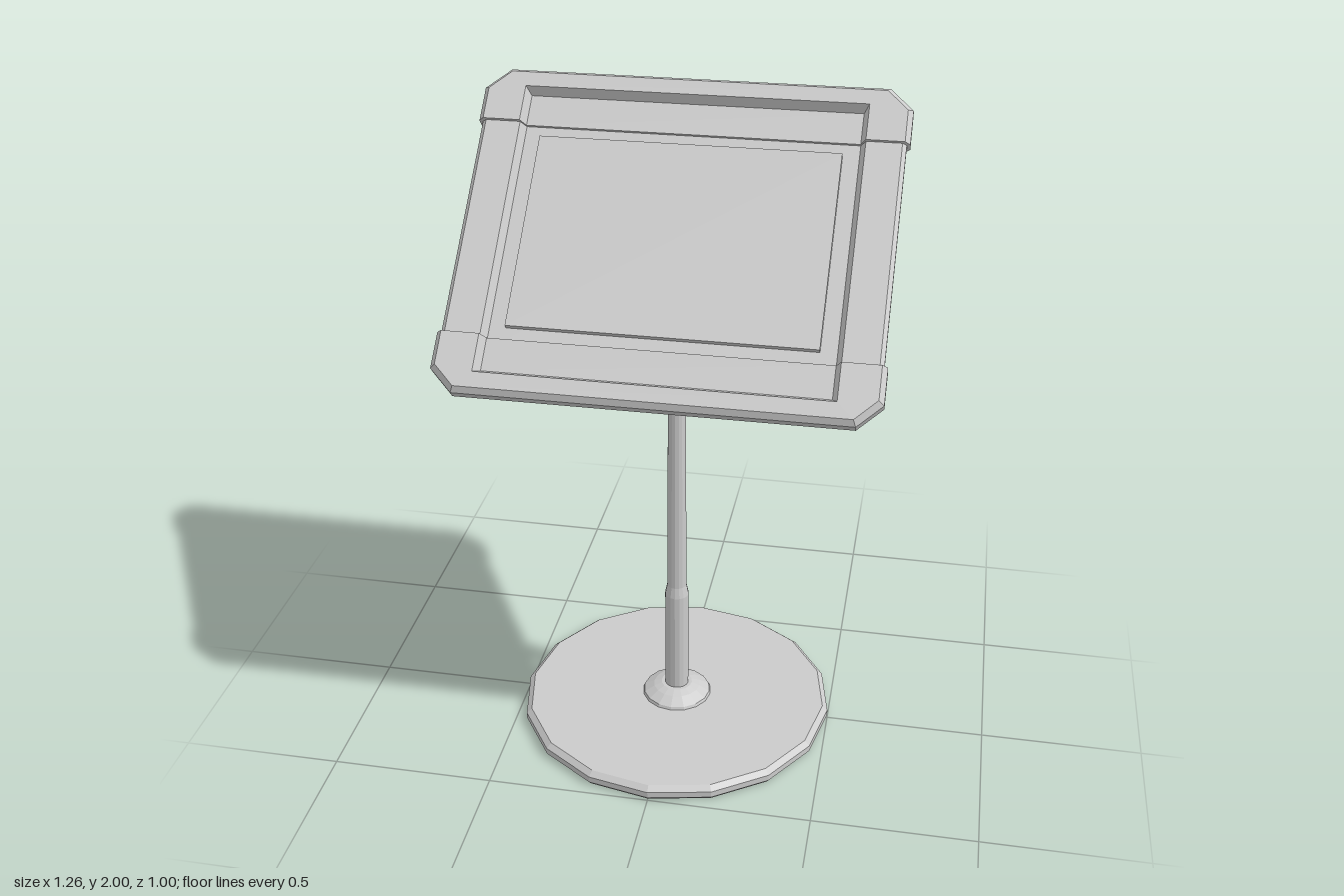
import * as THREE from 'three';

const material = new THREE.MeshStandardMaterial({ color: 0xcccccc, flatShading: true });

function add(parent, name, geometry, x = 0, y = 0, z = 0) {
  const mesh = new THREE.Mesh(geometry, material);
  mesh.name = name;
  mesh.position.set(x, y, z);
  parent.add(mesh);
  return mesh;
}

// Sweeps a bevelled rim section; each station holds outer edge, bevel, lip and floor as [x, v].
function rimGeometry(stations, half, floor) {
  const rings = stations.map(({ outer, bevel, lip, foot }) => [
    [...foot, -half], [...bevel, -half], [...outer, -half * 0.45],
    [...outer, half * 0.45], [...bevel, half], [...lip, half], [...foot, floor],
  ]);
  const pos = [];
  const tri = (a, b, c) => pos.push(...a, ...b, ...c);
  const count = rings[0].length;
  for (let i = 0; i < rings.length - 1; i++) {
    for (let j = 0; j < count; j++) {
      const k = (j + 1) % count;
      const [a, b, c, d] = [rings[i][j], rings[i][k], rings[i + 1][j], rings[i + 1][k]];
      tri(a, b, c);
      tri(b, d, c);
    }
  }
  const first = rings[0], last = rings[rings.length - 1];
  for (let j = 1; j < count - 1; j++) {
    tri(first[0], first[j + 1], first[j]);
    tri(last[0], last[j], last[j + 1]);
  }
  const geometry = new THREE.BufferGeometry();
  geometry.setAttribute('position', new THREE.Float32BufferAttribute(pos, 3));
  geometry.computeVertexNormals();
  return geometry;
}

function lathe(points, sides = 16) {
  return new THREE.LatheGeometry(points.map(([r, y]) => new THREE.Vector2(r, y)), sides);
}

function createBoard() {
  const board = new THREE.Group();
  board.name = 'board';
  board.position.set(0, 1.645, 0.03);
  board.rotation.x = -THREE.MathUtils.degToRad(48);

  // Thin backing plate and raised display panel
  add(board, 'backPlate', new THREE.BoxGeometry(0.98, 0.76, 0.012), 0, 0, -0.014);
  add(board, 'displayPanel', new THREE.BoxGeometry(0.884, 0.605, 0.02), 0, 0, 0);

  // Side rails, the second turned half a circle
  const rail = rimGeometry([-0.36, 0.36].map((v) => ({
    outer: [-0.62, v], bevel: [-0.608, v], lip: [-0.505, v], foot: [-0.49, v],
  })), 0.02, -0.008);
  add(board, 'rightRail', rail);
  add(board, 'leftRail', rail).rotation.z = Math.PI;

  // U-shaped end caps with cut corners
  const leftHalf = [
    { outer: [-0.63, 0.34], bevel: [-0.615, 0.34], lip: [-0.505, 0.34], foot: [-0.49, 0.34] },
    { outer: [-0.63, 0.45], bevel: [-0.615, 0.442], lip: [-0.505, 0.455], foot: [-0.49, 0.44] },
    { outer: [-0.56, 0.517], bevel: [-0.553, 0.502], lip: [-0.505, 0.455], foot: [-0.49, 0.44] },
  ];
  const mirror = (s) => Object.fromEntries(
    Object.entries(s).map(([key, [x, v]]) => [key, [-x, v]]));
  const cap = rimGeometry([...leftHalf, ...leftHalf.map(mirror).reverse()], 0.03, 0);
  for (const [name, turn] of [['topCap', 0], ['bottomCap', Math.PI]]) {
    const group = new THREE.Group();
    group.name = name;
    group.rotation.z = turn;
    add(group, 'capRim', cap);
    add(group, 'capFloor', new THREE.BoxGeometry(0.98, 0.1, 0.03), 0, 0.39, -0.015);
    board.add(group);
  }
  return board;
}

export function createModel() {
  const model = new THREE.Group();
  model.name = 'signStand';

  // Round foot with a bevelled edge
  add(model, 'base', lathe([[0, 0], [0.492, 0], [0.5, 0.01], [0.5, 0.03], [0.483, 0.045], [0, 0.045]]));
  add(model, 'baseCollar', lathe([[0.112, 0.044], [0.108, 0.054], [0.075, 0.073], [0.05, 0.082], [0, 0.082]]));

  // Stepped telescopic pole
  add(model, 'pole', lathe([
    [0.038, 0.07], [0.038, 0.43], [0.031, 0.465], [0.027, 1.2], [0.033, 1.235],
    [0.033, 1.375], [0.022, 1.4], [0.022, 1.53], [0.027, 1.545], [0.027, 1.635], [0, 1.635],
  ]));

  // Rounded pivot head under the board
  const pivot = add(model, 'pivotHead', new THREE.CylinderGeometry(0.026, 0.026, 0.046, 16), 0, 1.637, 0);
  pivot.rotation.z = Math.PI / 2;

  model.add(createBoard());
  return model;
}
